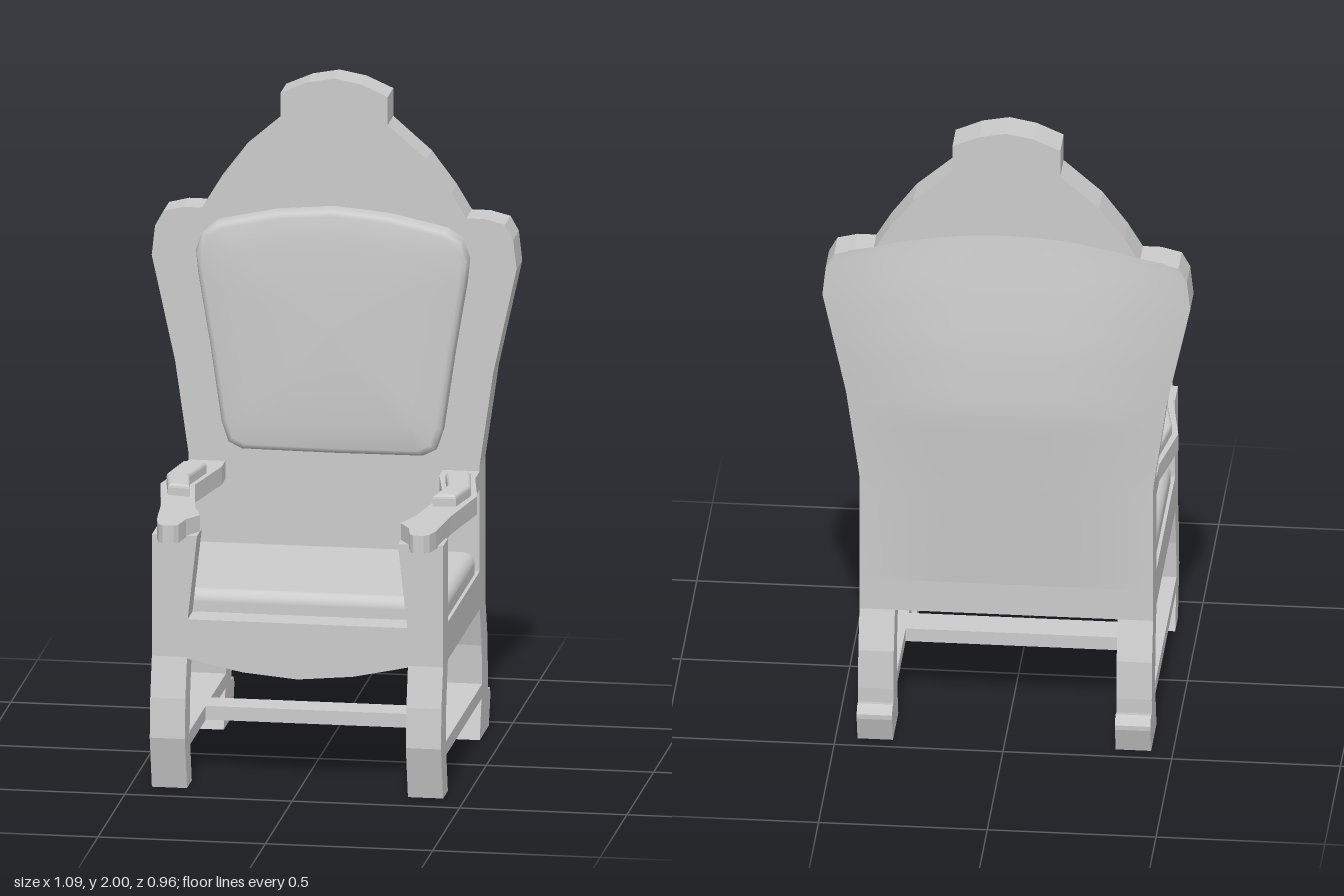
import * as THREE from 'three';
import { RoundedBoxGeometry } from 'three/addons/geometries/RoundedBoxGeometry.js';

const material = new THREE.MeshStandardMaterial({ color: 0xcccccc });

const toShape = (pts) => new THREE.Shape(pts.map(([x, y]) => new THREE.Vector2(x, y)));
// Completes a right-half outline with its mirror image
const symmetric = (half) => [...half, ...half.filter(([x]) => x > 0).reverse().map(([x, y]) => [-x, y])];

function extrude(pts, depth, bevel = 0) {
  return new THREE.ExtrudeGeometry(toShape(pts), {
    depth: depth - bevel, bevelEnabled: bevel > 0, bevelSize: bevel, bevelOffset: -bevel,
    bevelThickness: bevel, bevelSegments: 3, curveSegments: 8,
  });
}

// Front outline (x, y) running from z0 forward to z1
const frontSlab = (pts, z0, z1) => extrude(pts, z1 - z0).translate(0, 0, z0);
// Side outline (z, y) running between x0 and x1
const sideSlab = (pts, x0, x1) => extrude(pts, x1 - x0).rotateY(-Math.PI / 2).translate(x1, 0, 0);
// Plan outline (x, z) running from y0 up to y1
const planSlab = (pts, y0, y1, bevel = 0) =>
  extrude(pts, y1 - y0, bevel).rotateX(Math.PI / 2).translate(0, y1 - bevel, 0);

function box(x0, x1, y0, y1, z0, z1) {
  return new THREE.BoxGeometry(x1 - x0, y1 - y0, z1 - z0)
    .translate((x0 + x1) / 2, (y0 + y1) / 2, (z0 + z1) / 2);
}

// Linear lookup in a list of [key, value] pairs with rising keys
function lookup(table, k) {
  for (let i = 1; i < table.length; i++) {
    const [a, va] = table[i - 1], [b, vb] = table[i];
    if (k <= b) return va + (vb - va) * Math.max(0, (k - a) / (b - a));
  }
  return table[table.length - 1][1];
}

// Bulging rear upholstery, fitted to the width of the back
function rearPadding() {
  const width = [[0.4, 0.434], [0.84, 0.434], [1.12, 0.474], [1.44, 0.543], [1.53, 0.533], [1.575, 0.505], [1.6, 0.44]];
  const rise = [[0, 0], [0.25, 0.5], [0.52, 1], [0.7, 0.8], [0.86, 0.42], [1, 0]];
  const taper = [[0, 1], [0.35, 1], [0.65, 0.6], [1, 0]];
  const geo = new THREE.PlaneGeometry(2, 1, 20, 24);
  const p = geo.attributes.position;
  for (let i = 0; i < p.count; i++) {
    const s = p.getX(i), v = p.getY(i) + 0.5;
    const y = 0.5 + v * (1.16 - 0.07 * s * s);
    p.setXYZ(i, -s * lookup(width, y), y, -0.392 - 0.055 * lookup(rise, v) * lookup(taper, Math.abs(s)));
  }
  geo.computeVertexNormals();
  return geo;
}

// Domed cushion from shrinking rings of one rounded outline
function backCushion() {
  const half = [[0, 1.612], [0.17, 1.597], [0.34, 1.56], [0.388, 1.53], [0.407, 1.47], [0.4, 1.4],
    [0.365, 1.19], [0.33, 0.95], [0.31, 0.89], [0.27, 0.87], [0, 0.868]];
  const outline = symmetric(half);
  const rings = [[1, -0.29], [1, -0.25], [0.985, -0.236], [0.95, -0.228], [0.75, -0.22], [0.4, -0.215], [0, -0.214]];
  const n = outline.length, pos = [], index = [];
  for (const [s, z] of rings) for (const [x, y] of outline) pos.push(x * s, 1.24 + (y - 1.24) * s, z);
  for (let r = 0; r < rings.length - 1; r++) {
    for (let i = 0; i < n; i++) {
      const a = r * n + i, b = r * n + (i + 1) % n;
      // the outline runs clockwise as seen from the front
      index.push(a, a + n, b, b, a + n, b + n);
    }
  }
  const geo = new THREE.BufferGeometry();
  geo.setAttribute('position', new THREE.Float32BufferAttribute(pos, 3));
  geo.setIndex(index);
  geo.computeVertexNormals();
  return geo;
}

export function createModel() {
  const model = new THREE.Group();
  model.name = 'armchair';
  const add = (name, geometry) => {
    const mesh = new THREE.Mesh(geometry, material);
    mesh.name = name;
    model.add(mesh);
  };

  // Tall shaped back with crest and shoulders
  add('backPanel', frontSlab(symmetric([
    [0, 2], [0.08, 1.985], [0.16, 1.95], [0.16, 1.865], [0.275, 1.765], [0.35, 1.665], [0.395, 1.59],
    [0.45, 1.59], [0.51, 1.575], [0.535, 1.53], [0.545, 1.44], [0.475, 1.12], [0.435, 0.84], [0.435, 0.4],
  ]), -0.392, -0.285));
  add('rearPadding', rearPadding());
  add('backCushion', backCushion());

  // Seat frame, cushion and curved front apron
  add('seatFrame', box(-0.435, 0.435, 0.4, 0.515, -0.285, 0.4));
  add('seatCushion', new RoundedBoxGeometry(0.85, 0.11, 0.59, 4, 0.035).translate(0, 0.525, 0.01));
  add('apron', frontSlab([[-0.33, 0.41], [-0.33, 0.395], [-0.165, 0.36], [0, 0.345],
    [0.165, 0.36], [0.33, 0.395], [0.33, 0.41]], 0.31, 0.4));

  const frontLeg = [[0.4, 0.4], [0.43, 0.28], [0.44, 0.16], [0.4, 0],
    [0.31, 0], [0.34, 0.12], [0.35, 0.16], [0.34, 0.28], [0.31, 0.4]];
  const backLeg = [[-0.285, 0.4], [-0.32, 0.28], [-0.33, 0.16], [-0.285, 0], [-0.455, 0], [-0.483, 0.08],
    [-0.484, 0.095], [-0.472, 0.113], [-0.455, 0.117], [-0.435, 0.113], [-0.437, 0.16], [-0.43, 0.28], [-0.392, 0.4]];
  const post = [[0.328, 0.515], [0.435, 0.515], [0.435, 0.77], [0.3, 0.77]];
  const arm = [[0.435, -0.29], [0.435, -0.2], [0.473, 0], [0.432, 0.25], [0.424, 0.35], [0.417, 0.42],
    [0.405, 0.465], [0.39, 0.48], [0.358, 0.48], [0.345, 0.465], [0.333, 0.4], [0.3, 0.345],
    [0.33, 0.25], [0.37, 0], [0.325, -0.22], [0.325, -0.29]];
  const armPad = [[0.357, -0.135], [0.43, -0.148], [0.455, 0], [0.43, 0.13], [0.362, 0.14], [0.385, 0]];

  // Legs, posts, arms and side rails on both sides
  for (const [side, s] of [['left', 1], ['right', -1]]) {
    const mirror = (pts) => pts.map(([x, y]) => [x * s, y]);
    const x0 = s > 0 ? 0.33 : -0.435, x1 = x0 + 0.105;
    add(side + 'FrontLeg', sideSlab(frontLeg, x0, x1));
    add(side + 'BackLeg', sideSlab(backLeg, x0, x1));
    add(side + 'ArmPost', frontSlab(mirror(post), 0.31, 0.4));
    add(side + 'Arm', planSlab(mirror(arm), 0.765, 0.82));
    add(side + 'ArmPad', planSlab(mirror(armPad), 0.81, 0.855, 0.012));
    add(side + 'Stretcher', box(s * 0.3825 - 0.0525, s * 0.3825 + 0.0525, 0.118, 0.16, -0.325, 0.345));
  }
  add('crossStretcher', box(-0.335, 0.335, 0.118, 0.16, -0.05, 0.05));
  return model;
}
